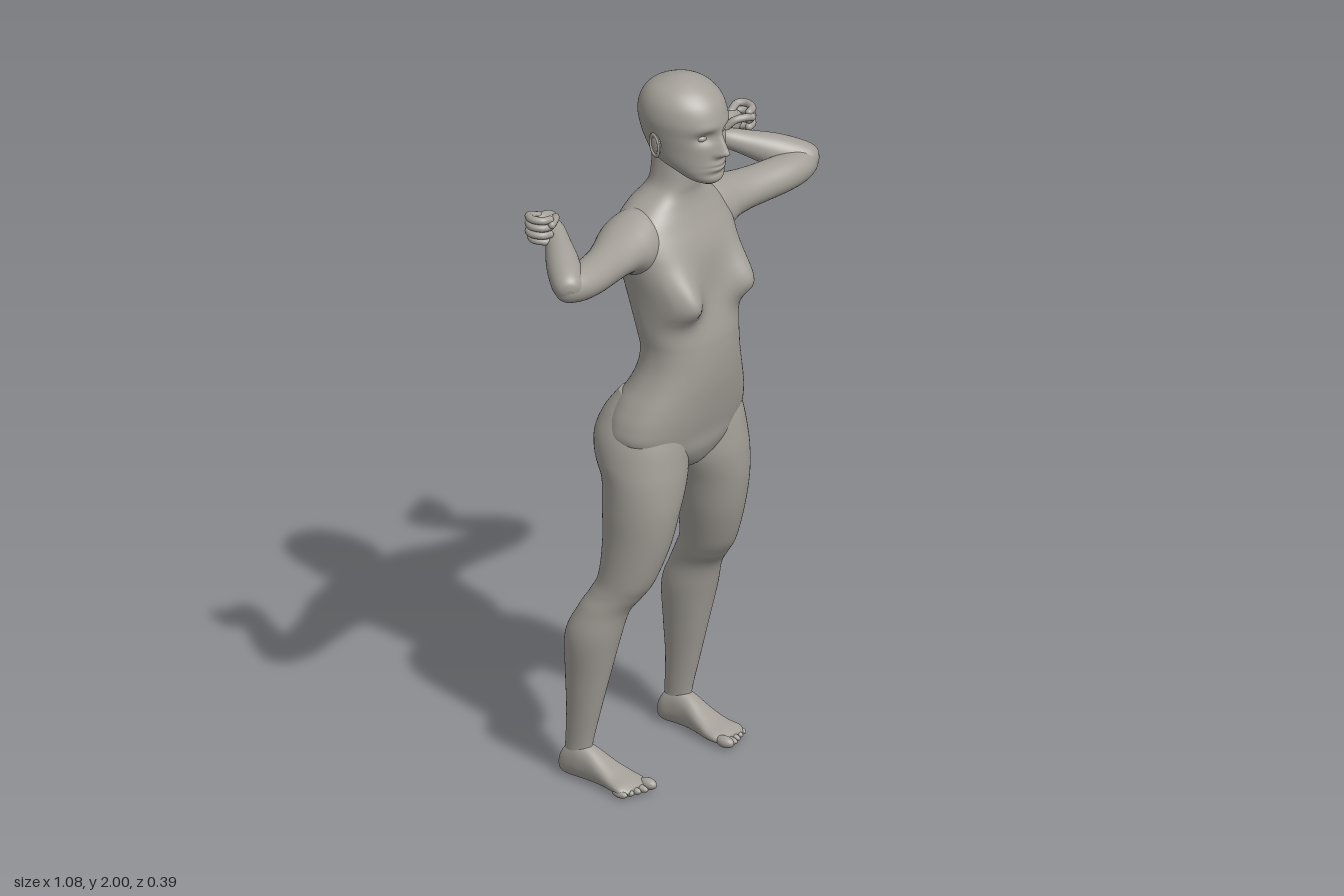
import * as THREE from 'three';

const bell = (a, b) => Math.exp(-(a * a + b * b) / 2);
const clamp01 = (v) => Math.min(1, Math.max(0, v));

// Smooth closed loft. Rows ascend: [y, xMin, xMax, zFront, zBack]
function loft(rows, { seg = 40, steps = 6, power = 2, shape } = {}) {
  const pos = [], index = [];
  const cr = (a, b, c, d, t) =>
    0.5 * (2 * b + (c - a) * t + (2 * a - 5 * b + 4 * c - d) * t * t + (3 * b - a - 3 * c + d) * t * t * t);
  const at = (i) => rows[Math.min(rows.length - 1, Math.max(0, i))];
  const v = new THREE.Vector3();
  const rings = (rows.length - 1) * steps + 1;
  for (let r = 0; r < rings; r++) {
    const i = Math.min(Math.floor(r / steps), rows.length - 2), t = r / steps - i;
    const [y, x0, x1, zf, zb] = rows[0].map((_, k) => cr(at(i - 1)[k], at(i)[k], at(i + 1)[k], at(i + 2)[k], t));
    for (let s = 0; s < seg; s++) {
      const a = (s / seg) * Math.PI * 2, c = Math.cos(a), n = Math.sin(a);
      const round = (q) => Math.sign(q) * Math.pow(Math.abs(q), 2 / power);
      v.set((x0 + x1) / 2 + round(c) * (x1 - x0) / 2, y, (zf + zb) / 2 + round(n) * (zf - zb) / 2);
      if (shape) shape(v);
      pos.push(v.x, v.y, v.z);
    }
  }
  for (let r = 0; r < rings - 1; r++) {
    for (let s = 0; s < seg; s++) {
      const p = r * seg + s, q = r * seg + (s + 1) % seg;
      index.push(p, p + seg, q, q, p + seg, q + seg);
    }
  }
  // End caps
  for (const [row, first, top] of [[rows[0], 0, false], [rows[rows.length - 1], (rings - 1) * seg, true]]) {
    const c = pos.length / 3;
    pos.push((row[1] + row[2]) / 2, row[0], (row[3] + row[4]) / 2);
    for (let s = 0; s < seg; s++) {
      const p = first + s, q = first + (s + 1) % seg;
      index.push(c, top ? q : p, top ? p : q);
    }
  }
  const g = new THREE.BufferGeometry();
  g.setAttribute('position', new THREE.Float32BufferAttribute(pos, 3));
  g.setIndex(index);
  g.computeVertexNormals();
  return g;
}

const ball = (x, y, z, sx, sy, sz) =>
  new THREE.SphereGeometry(1, 24, 16).scale(sx, sy, sz).translate(x, y, z);

function mirrored(g) {
  const m = g.clone().scale(-1, 1, 1), ix = m.index;
  for (let i = 0; i < ix.count; i += 3) {
    const b = ix.getX(i + 1);
    ix.setX(i + 1, ix.getX(i + 2));
    ix.setX(i + 2, b);
  }
  m.computeVertexNormals();
  return m;
}

const basis = (x, y, z) =>
  new THREE.Matrix4().makeBasis(new THREE.Vector3(...x), new THREE.Vector3(...y), new THREE.Vector3(...z));

export function createModel() {
  const model = new THREE.Group();
  model.name = 'mannequin';
  const clay = new THREE.MeshStandardMaterial({ color: 0xa39f98 });
  clay.name = 'warm grey clay';
  const add = (name, g) => {
    const mesh = new THREE.Mesh(g, clay);
    mesh.name = name;
    model.add(mesh);
  };
  const pair = (name, g) => {
    add('left' + name, g);
    add('right' + name, mirrored(g));
  };

  // Torso and neck
  const trunk = [
    [0.875, 0.02, 0.06, 0.0], [0.9, 0.07, 0.1, -0.05], [0.95, 0.17, 0.128, -0.085], [1.0, 0.222, 0.138, -0.1],
    [1.05, 0.22, 0.15, -0.1], [1.1, 0.2, 0.16, -0.085], [1.15, 0.174, 0.168, -0.058], [1.2, 0.156, 0.172, -0.04],
    [1.25, 0.15, 0.172, -0.036], [1.3, 0.155, 0.167, -0.047], [1.4, 0.165, 0.145, -0.072], [1.5, 0.185, 0.135, -0.092],
    [1.55, 0.19, 0.122, -0.1], [1.6, 0.172, 0.1, -0.098], [1.64, 0.13, 0.085, -0.082], [1.67, 0.09, 0.08, -0.06],
    [1.7, 0.068, 0.083, -0.045], [1.75, 0.06, 0.085, -0.04], [1.8, 0.058, 0.08, -0.04],
  ].map(([y, w, f, b]) => [y, -w, w, f, b]);
  add('torso', loft(trunk, {
    seg: 96, power: 2.3,
    shape(v) {
      const front = clamp01((v.z - 0.03) / 0.05), back = clamp01((0.02 - v.z) / 0.05), ax = Math.abs(v.x);
      v.z += front * 0.07 * bell((ax - 0.125) / 0.042, (v.y - 1.4) / (v.y > 1.4 ? 0.06 : 0.036));
      v.z += back * 0.018 * bell(v.x / 0.025, (v.y - 1.35) / 0.15);
    },
  }));

  // Head with sculpted face
  const skull = [
    [1.717, 0.02, 0.15, 0.11], [1.73, 0.045, 0.166, 0.07], [1.75, 0.064, 0.169, 0.03], [1.78, 0.082, 0.168, -0.035],
    [1.82, 0.092, 0.168, -0.062], [1.86, 0.1, 0.17, -0.076], [1.9, 0.105, 0.171, -0.081], [1.94, 0.098, 0.156, -0.07],
    [1.97, 0.078, 0.127, -0.045], [1.99, 0.046, 0.092, -0.005], [1.998, 0.02, 0.064, 0.026], [2.0, 0.003, 0.048, 0.042],
  ].map(([y, w, f, b]) => [y, -w, w, f, b]);
  add('head', loft(skull, {
    seg: 128, steps: 10,
    shape(v) {
      const x = v.x, y = v.y, ax = Math.abs(x);
      v.z += clamp01((v.z - 0.07) / 0.05) * (
        0.025 * bell(x / 0.012, (y - 1.813) / (y > 1.813 ? 0.018 : 0.008))
        + 0.011 * bell(x / 0.01, (y - 1.845) / 0.018)
        + 0.008 * bell(ax < 0.013 ? 0 : (ax - 0.013) / 0.007, (y - 1.808) / 0.008)
        - 0.016 * bell((ax - 0.04) / 0.018, (y - 1.858) / 0.013)
        + 0.004 * bell((ax - 0.04) / 0.025, (y - 1.885) / 0.01)
        + 0.01 * bell(x / 0.022, (y - 1.773) / 0.011)
        - 0.006 * bell(x / 0.022, (y - 1.773) / 0.003)
        - 0.005 * bell(x / 0.03, (y - 1.752) / 0.006));
    },
  }));
  pair('Eye', ball(0.039, 1.857, 0.137, 0.016, 0.01, 0.014));
  const ear = (g) => g.rotateX(-0.2).rotateY(0.3).translate(0.1, 1.83, 0.036);
  pair('Ear', ear(ball(0, 0, 0, 0.008, 0.03, 0.019)));
  pair('EarRim', ear(new THREE.TorusGeometry(0.019, 0.004, 8, 28).rotateY(Math.PI / 2).scale(1, 1.5, 1).translate(0.005, 0, 0)));

  // Legs
  pair('Leg', loft([
    [0.05, 0.182, 0.236, -0.095, -0.18], [0.1, 0.18, 0.236, -0.094, -0.175], [0.2, 0.17, 0.245, -0.07, -0.17],
    [0.3, 0.155, 0.256, -0.045, -0.172], [0.42, 0.135, 0.27, -0.015, -0.17], [0.5, 0.13, 0.256, 0.008, -0.135],
    [0.55, 0.118, 0.242, 0.043, -0.107], [0.6, 0.105, 0.236, 0.075, -0.086], [0.7, 0.076, 0.236, 0.11, -0.08],
    [0.8, 0.05, 0.241, 0.13, -0.085], [0.88, 0.02, 0.242, 0.135, -0.092], [0.94, 0.006, 0.24, 0.132, -0.12],
    [1.0, 0.004, 0.23, 0.125, -0.128], [1.06, 0.02, 0.205, 0.11, -0.106], [1.12, 0.06, 0.17, 0.07, -0.06],
  ], { seg: 56, steps: 8 }));

  // Feet, lofted from heel to toe
  const foot = loft([
    [-0.192, 0.195, 0.218, -0.02, -0.04], [-0.185, 0.183, 0.23, -0.006, -0.065], [-0.165, 0.176, 0.237, 0, -0.09],
    [-0.13, 0.175, 0.24, 0, -0.105], [-0.09, 0.172, 0.24, 0, -0.094], [-0.04, 0.16, 0.245, 0, -0.066],
    [0, 0.15, 0.252, 0, -0.046], [0.035, 0.148, 0.258, -0.002, -0.034], [0.055, 0.16, 0.24, -0.007, -0.022],
  ], { power: 2.3 }).applyMatrix4(basis([1, 0, 0], [0, 0, 1], [0, -1, 0]));
  pair('Foot', foot);
  for (let i = 0; i < 5; i++) {
    const r = i ? 0.0105 : 0.016;
    pair('Toe' + (i + 1), ball(i ? 0.167 + i * 0.0205 : 0.162, r + 0.001, 0.057 - i * 0.006, r, r, 0.028 - i * 0.001));
  }

  // Upper arms, lofted outward from the shoulder
  const upperArm = loft([
    [0.08, -1.64, -1.47, 0.06, -0.07], [0.13, -1.643, -1.46, 0.08, -0.088], [0.17, -1.633, -1.473, 0.085, -0.09],
    [0.21, -1.622, -1.494, 0.082, -0.076], [0.26, -1.612, -1.505, 0.084, -0.052], [0.32, -1.61, -1.51, 0.092, -0.026],
    [0.4, -1.612, -1.516, 0.106, -0.004], [0.46, -1.612, -1.522, 0.106, 0.01], [0.505, -1.608, -1.532, 0.094, 0.022],
    [0.525, -1.6, -1.545, 0.078, 0.034], [0.534, -1.583, -1.562, 0.062, 0.048],
  ]).applyMatrix4(basis([0, -1, 0], [1, 0, 0], [0, 0, 1]));
  pair('UpperArm', upperArm);

  // Forearms fold back from the elbow to the wrist
  const elbow = new THREE.Vector3(0.5, 1.577, 0.06), wrist = new THREE.Vector3(0.355, 1.645, -0.1);
  const reach = wrist.clone().sub(elbow), length = reach.length();
  const turn = new THREE.Quaternion().setFromUnitVectors(new THREE.Vector3(0, 1, 0), reach.normalize());
  const forearm = loft([
    [-0.14, 0.012], [-0.1, 0.03], [0, 0.041], [0.2, 0.045], [0.45, 0.043], [0.75, 0.033], [0.95, 0.027], [1.08, 0.018],
  ].map(([t, r]) => [t * length, -r, r, r, -r]));
  pair('Forearm', forearm.applyQuaternion(turn).translate(elbow.x, elbow.y, elbow.z));

  // Loosely curled hands
  pair('Palm', ball(0, 0, 0, 0.056, 0.038, 0.021).rotateZ(0.2).translate(0.384, 1.663, -0.11));
  const digit = (name, pts, r) => {
    const curve = new THREE.CatmullRomCurve3(pts.map((p) => new THREE.Vector3(...p)));
    pair(name, new THREE.TubeGeometry(curve, 20, r, 10));
    for (const p of [pts[0], pts[pts.length - 1]]) pair(name + 'End', ball(...p, r, r, r));
  };
  for (let i = 0; i < 4; i++) {
    const y = 1.706 - i * 0.021, k = i === 3 ? -0.008 : 0;
    digit('Finger' + (i + 1), [
      [0.405, y - 0.01, -0.115], [0.438 + k, y, -0.12], [0.452 + k, y, -0.1],
      [0.44 + k, y - 0.002, -0.072], [0.418, y - 0.004, -0.066],
    ], i === 3 ? 0.009 : 0.0105);
  }
  digit('Thumb', [[0.36, 1.67, -0.098], [0.376, 1.69, -0.08], [0.398, 1.694, -0.065], [0.42, 1.69, -0.058]], 0.0105);

  return model;
}
